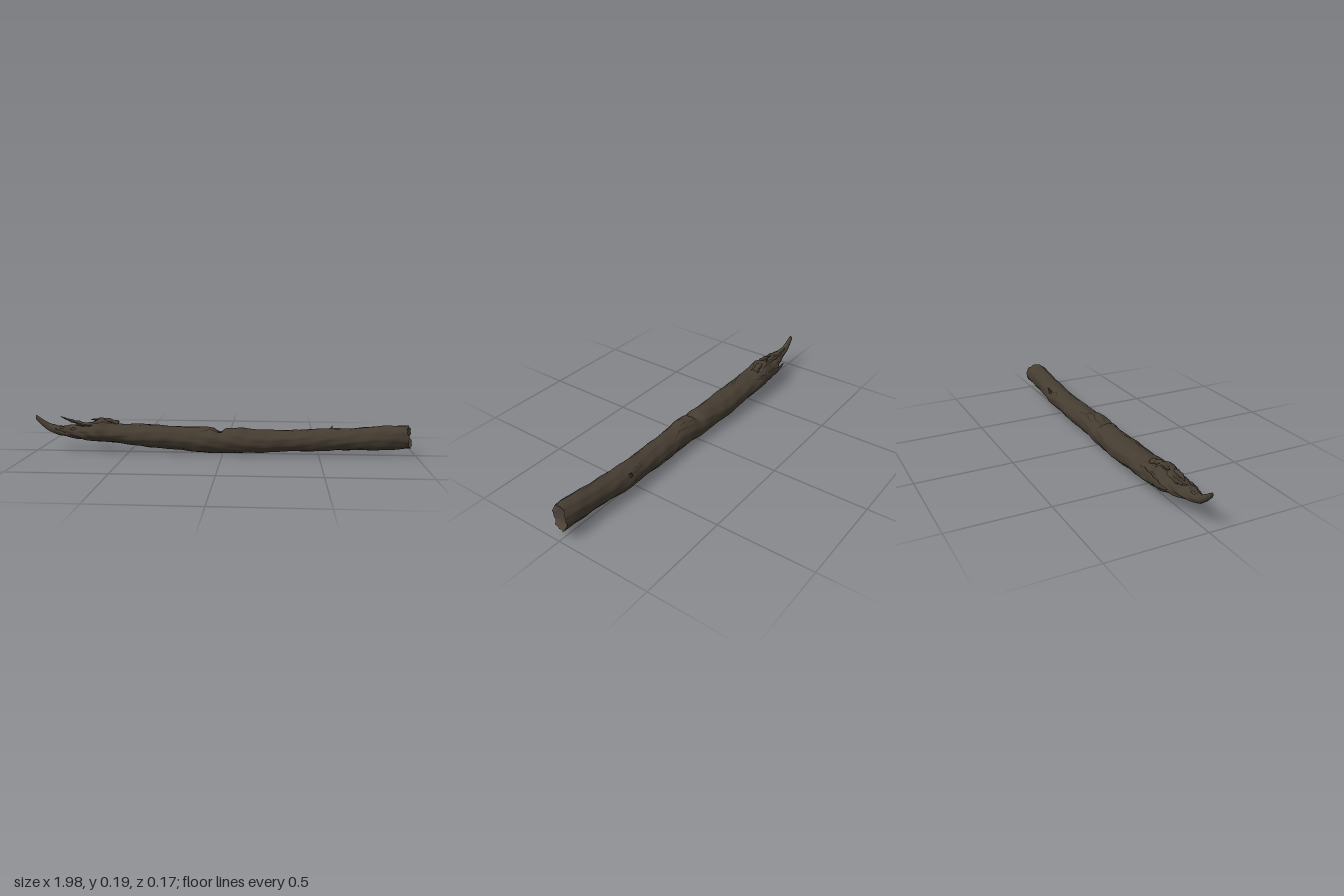
import * as THREE from 'three';

const SIDES = 48;

// Trunk outline: x, lowest y, highest y, back z, front z
const TRUNK = [
  [-1.0, 0.165, 0.192, -0.012, 0.008], [-0.97, 0.135, 0.172, -0.017, 0.012],
  [-0.93, 0.105, 0.148, -0.02, 0.018], [-0.88, 0.088, 0.135, -0.024, 0.034],
  [-0.82, 0.078, 0.138, -0.04, 0.05], [-0.76, 0.068, 0.146, -0.064, 0.06],
  [-0.68, 0.058, 0.15, -0.082, 0.064], [-0.55, 0.045, 0.15, -0.084, 0.065],
  [-0.4, 0.03, 0.146, -0.079, 0.068], [-0.2, 0.012, 0.14, -0.073, 0.07],
  [-0.05, 0.004, 0.136, -0.06, 0.079], [0.08, 0.006, 0.135, -0.052, 0.083],
  [0.22, 0.012, 0.126, -0.055, 0.078], [0.4, 0.019, 0.13, -0.056, 0.07],
  [0.56, 0.025, 0.138, -0.06, 0.065], [0.66, 0.028, 0.143, -0.049, 0.068],
  [0.8, 0.035, 0.155, -0.041, 0.073], [0.92, 0.04, 0.164, -0.036, 0.075],
  [0.96, 0.042, 0.162, -0.035, 0.073],
];

// Outline values at x, interpolated between stations
function section(rows, x) {
  let i = 0;
  while (i < rows.length - 2 && x > rows[i + 1][0]) i++;
  const t = (x - rows[i][0]) / (rows[i + 1][0] - rows[i][0]);
  return rows[i].map((v, k) => v + (rows[i + 1][k] - v) * t);
}

const bump = (x, at, w) => Math.exp(-(((x - at) / w) ** 2));

// Bark ridges, lumps, the broken notch and the raised hump
function relief(x, a) {
  const up = Math.max(0, Math.sin(a)) ** 4;
  const fade = THREE.MathUtils.smoothstep(x, -0.95, -0.75);
  const grain = 0.0012 * Math.sin(9 * a + 5 * Math.sin(6 * x)) + 0.0008 * Math.sin(17 * a - 14 * x);
  const lumps = 0.0018 * Math.sin(21 * x + 2 * a) + 0.001 * Math.sin(53 * x - 3 * a);
  const torn = 0.004 * bump(x, -0.76, 0.11) * Math.sin(5 * a + 70 * x);
  const top = up * (0.03 * bump(x, -0.65, 0.035) + 0.008 * bump(x, 0.09, 0.04)
    - 0.026 * bump(x, -0.015, 0.02) - 0.006 * bump(x, -0.74, 0.02));
  return (grain + lumps) * fade + torn + top;
}

// Point on the trunk skin, lifted by a small amount
function trunkPoint(x, a, lift = 0) {
  const [, y0, y1, z0, z1] = section(TRUNK, x);
  const r = relief(x, a) + lift;
  return [x, (y0 + y1) / 2 + Math.sin(a) * ((y1 - y0) / 2 + r),
    (z0 + z1) / 2 + Math.cos(a) * ((z1 - z0) / 2 + r)];
}

// Ragged right-hand rim, longest at the back and bottom
function rimPoint(a) {
  const p = trunkPoint(0.96, a);
  p[0] = 0.964 - 0.015 * Math.cos(a) - 0.009 * Math.sin(a)
    + 0.004 * Math.sin(5 * a + 1) + 0.003 * Math.sin(11 * a);
  return p;
}

// Surface from a grid of points; closed grids wrap around
function gridMesh(name, rows, closed, material) {
  const n = rows[0].length, index = [];
  for (let i = 0; i < rows.length - 1; i++) {
    for (let j = 0; j < (closed ? n : n - 1); j++) {
      const k = (j + 1) % n, a = i * n, b = a + n;
      index.push(a + j, b + j, a + k, b + j, b + k, a + k);
    }
  }
  const geo = new THREE.BufferGeometry();
  geo.setAttribute('position', new THREE.Float32BufferAttribute(rows.flat(2), 3));
  geo.setIndex(index);
  geo.computeVertexNormals();
  const mesh = new THREE.Mesh(geo, material);
  mesh.name = name;
  return mesh;
}

const ring = (fn) => Array.from({ length: SIDES }, (_, j) => fn((j / SIDES) * Math.PI * 2));

// Tapered splinter along a path with a flattened section
function splinter(name, path, radius, flat, material) {
  const curve = new THREE.CatmullRomCurve3(path.map((p) => new THREE.Vector3(...p)));
  const geo = new THREE.TubeGeometry(curve, 16, 1, 8);
  const pos = geo.attributes.position, v = new THREE.Vector3();
  for (let i = 0; i < pos.count; i++) {
    const t = Math.floor(i / 9) / 16, c = curve.getPointAt(t);
    const r = radius * (1 - t ** 2 * 0.92) * (1 + 0.2 * Math.sin(t * 23));
    v.fromBufferAttribute(pos, i).sub(c).multiplyScalar(r);
    v.z *= flat;
    v.add(c);
    pos.setXYZ(i, v.x, v.y, v.z);
  }
  geo.computeVertexNormals();
  const mesh = new THREE.Mesh(geo, material);
  mesh.name = name;
  return mesh;
}

export function createModel() {
  const group = new THREE.Group();
  group.name = 'fallenLog';
  const bark = new THREE.MeshStandardMaterial({ color: 0x453c31, side: THREE.DoubleSide });
  bark.name = 'dark bark';
  const wood = new THREE.MeshStandardMaterial({ color: 0x4a4136, side: THREE.DoubleSide });
  wood.name = 'weathered wood';
  const dark = new THREE.MeshStandardMaterial({ color: 0x241f1a, side: THREE.DoubleSide });
  dark.name = 'crack shadow';

  // Trunk skin, closed at the pointed tip
  const rows = [ring(() => [-1, 0.178, -0.002])];
  for (let i = 0; i <= 200; i++) rows.push(ring((a) => trunkPoint(-1 + (1.94 * i) / 200, a)));
  rows.push(ring(rimPoint));
  group.add(gridMesh('trunk', rows, true, bark));

  // Hollowed broken end
  const cap = [1, 0.9, 0.75, 0.5, 0.25, 0].map((s) => ring((a) => {
    const p = rimPoint(a);
    const x = 0.948 + 0.003 * Math.sin(3 * a + 9 * s) * s;
    return [s === 1 ? p[0] : x + (p[0] - x) * s ** 5, 0.102 + (p[1] - 0.102) * s, 0.019 + (p[2] - 0.019) * s];
  }));
  group.add(gridMesh('brokenEnd', cap, true, wood));

  // Torn splinters and bark flaps: name, path, radius, flatness
  [
    ['tipSplinter', [[-0.86, 0.12, 0], [-0.93, 0.135, -0.008], [-0.985, 0.165, -0.014]], 0.014, 0.7],
    ['upperSplinter', [[-0.72, 0.135, -0.02], [-0.8, 0.153, -0.03], [-0.84, 0.164, -0.036], [-0.88, 0.18, -0.038]], 0.012, 0.7],
    ['frontSplinter', [[-0.74, 0.11, 0.04], [-0.81, 0.115, 0.042], [-0.89, 0.125, 0.03]], 0.02, 0.5],
    ['backFlap', [[-0.56, 0.105, -0.07], [-0.68, 0.11, -0.08], [-0.74, 0.115, -0.083], [-0.79, 0.125, -0.08]], 0.027, 0.35],
    ['humpFlap', [[-0.56, 0.148, -0.02], [-0.63, 0.168, -0.015], [-0.71, 0.168, -0.02]], 0.014, 1.4],
    ['topFlap', [[-0.66, 0.145, 0.02], [-0.74, 0.148, 0.02], [-0.79, 0.142, 0.01]], 0.014, 1.2],
    ['twigStub', [[0.56, 0.11, -0.045], [0.57, 0.13, -0.054], [0.575, 0.145, -0.062]], 0.009, 1],
  ].forEach(([name, path, r, flat]) => group.add(splinter(name, path, r, flat, bark)));

  // Dark cracks: start x, end x, angle round the trunk, half width in radians
  [
    [-0.79, -0.56, 1.15, 0.06], [-0.74, -0.6, 1.9, 0.07], [-0.7, -0.5, 2.5, 0.05],
    [-0.48, -0.3, 1.3, 0.03], [-0.12, 0.0, 1.0, 0.05], [-0.03, 0.16, 1.9, 0.04],
    [0.02, 0.24, 2.2, 0.03], [0.46, 0.58, 2.3, 0.03],
  ].forEach(([x0, x1, a, w], n) => {
    const strip = [];
    for (let i = 0; i <= 40; i++) {
      const t = i / 40, half = w * Math.sin(Math.PI * t) * (0.7 + 0.3 * Math.sin(i * 1.7 + n));
      const mid = a + 0.12 * Math.sin(t * 9 + n) + 0.03 * Math.sin(t * 31);
      strip.push([-1, -0.5, 0, 0.5, 1].map((s) => trunkPoint(x0 + (x1 - x0) * t, mid + s * half, 0.0008)));
    }
    group.add(gridMesh('crack' + (n + 1), strip, false, dark));
  });
  return group;
}
